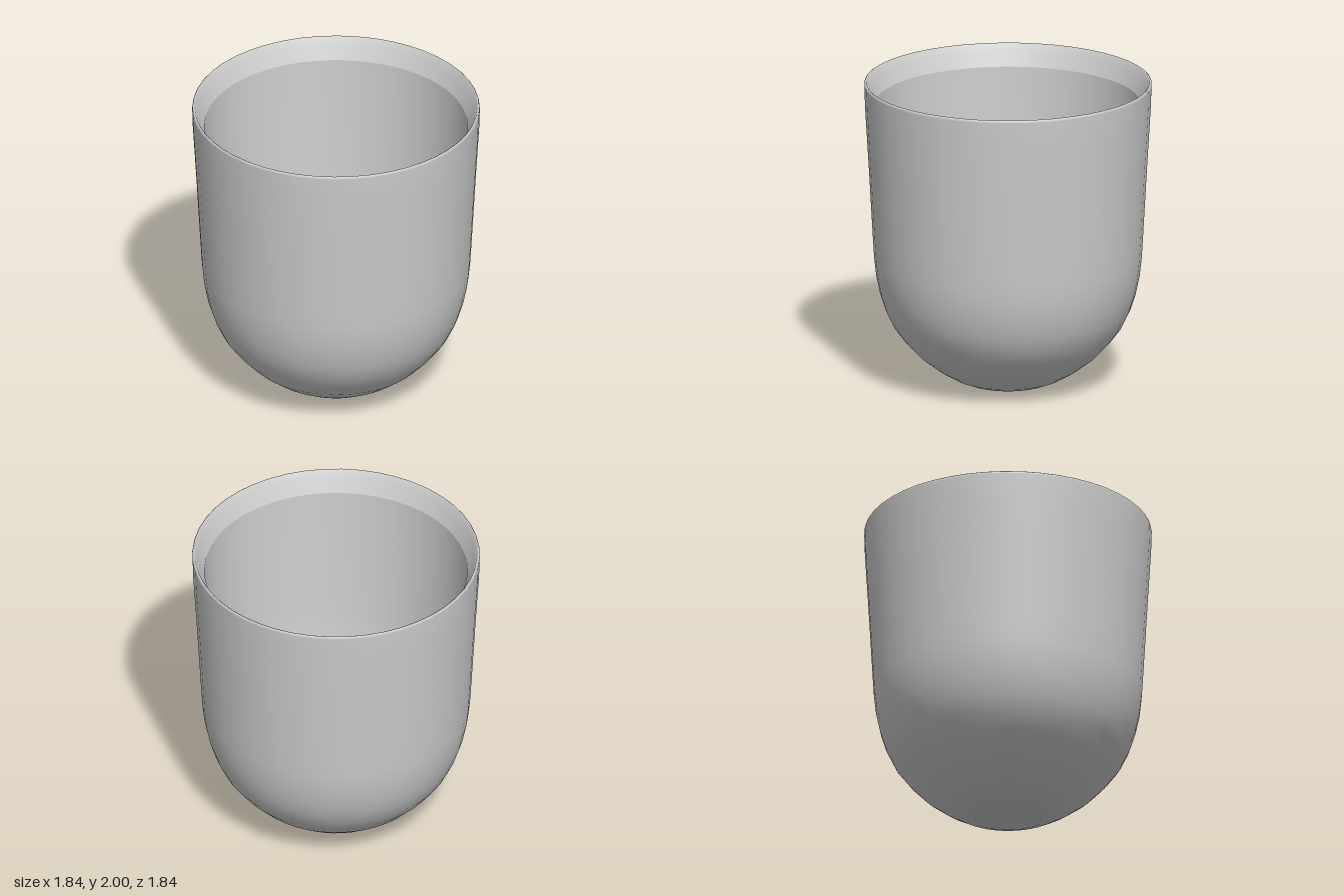
import * as THREE from 'three';

const vectors = (pairs) => pairs.map(([r, y]) => new THREE.Vector2(r, y));

export function createModel() {
  const group = new THREE.Group();
  group.name = 'cup';
  const ceramic = new THREE.MeshStandardMaterial({ color: 0xcccccc });
  ceramic.name = 'grey ceramic';

  const addLathe = (name, pairs) => {
    const mesh = new THREE.Mesh(new THREE.LatheGeometry(vectors(pairs), 48), ceramic);
    mesh.name = name;
    group.add(mesh);
  };

  // rounded bottom rising into a slightly flared wall
  addLathe('outerWall', [
    [0, 0], [0.15, 0.003], [0.27, 0.018], [0.36, 0.055], [0.46, 0.115], [0.57, 0.2],
    [0.66, 0.295], [0.735, 0.395], [0.785, 0.5], [0.82, 0.61], [0.845, 0.73],
    [0.858, 0.85], [0.867, 1], [0.895, 1.5], [0.916, 1.85], [0.92, 1.985],
  ]);

  // narrow edge and bevelled lip sloping inwards
  addLathe('rim', [
    [0.92, 1.985], [0.918, 1.995], [0.912, 2], [0.904, 1.995],
    [0.885, 1.955], [0.86, 1.9], [0.842, 1.86],
  ]);

  // hollow with a rounded floor
  addLathe('innerWall', [
    [0.842, 1.86], [0.825, 1.5], [0.795, 1], [0.78, 0.8], [0.755, 0.65],
    [0.71, 0.5], [0.64, 0.365], [0.54, 0.25], [0.43, 0.165], [0.32, 0.11],
    [0.2, 0.085], [0, 0.08],
  ]);

  return group;
}
